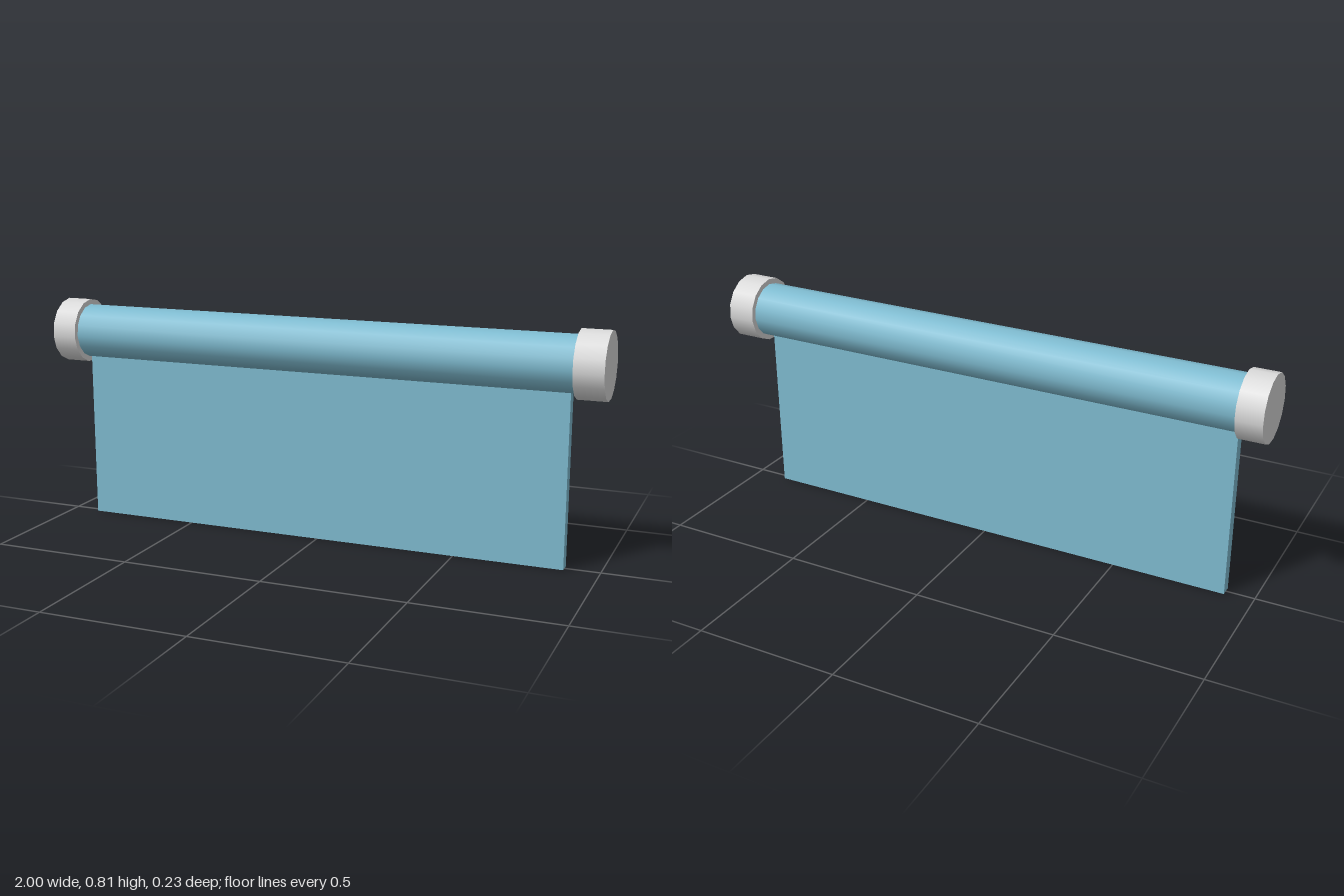
import * as THREE from 'three';

const AXIS_Y = 0.69;
const SIDES = 15;

export function createModel() {
  const group = new THREE.Group();

  const blue = new THREE.MeshStandardMaterial({ color: 0x7fbcd1 });
  blue.name = 'blue fabric';
  const grey = new THREE.MeshStandardMaterial({ color: 0xdadada });
  grey.name = 'light grey';

  // Cylinder lying along x from x0 to x1, one corner pointing straight up
  function addRod(name, radius, x0, x1, material) {
    const geometry = new THREE.CylinderGeometry(radius, radius, x1 - x0, SIDES);
    geometry.rotateX(-Math.PI / 2).rotateY(Math.PI / 2);
    const mesh = new THREE.Mesh(geometry, material);
    mesh.name = name;
    mesh.position.set((x0 + x1) / 2, AXIS_Y, 0);
    group.add(mesh);
  }

  // Rolled fabric and its end caps
  addRod('roller', 0.096, -0.93, 0.93, blue);
  addRod('rightCap', 0.115, -1, -0.91, grey);
  addRod('leftCap', 0.115, 0.9, 1, grey);

  // Hanging panel, its top edge inside the roller
  const panel = new THREE.Mesh(new THREE.BoxGeometry(1.78, 0.66, 0.041), blue);
  panel.name = 'hangingPanel';
  panel.position.set(-0.01, 0.33, 0);
  group.add(panel);

  return group;
}
